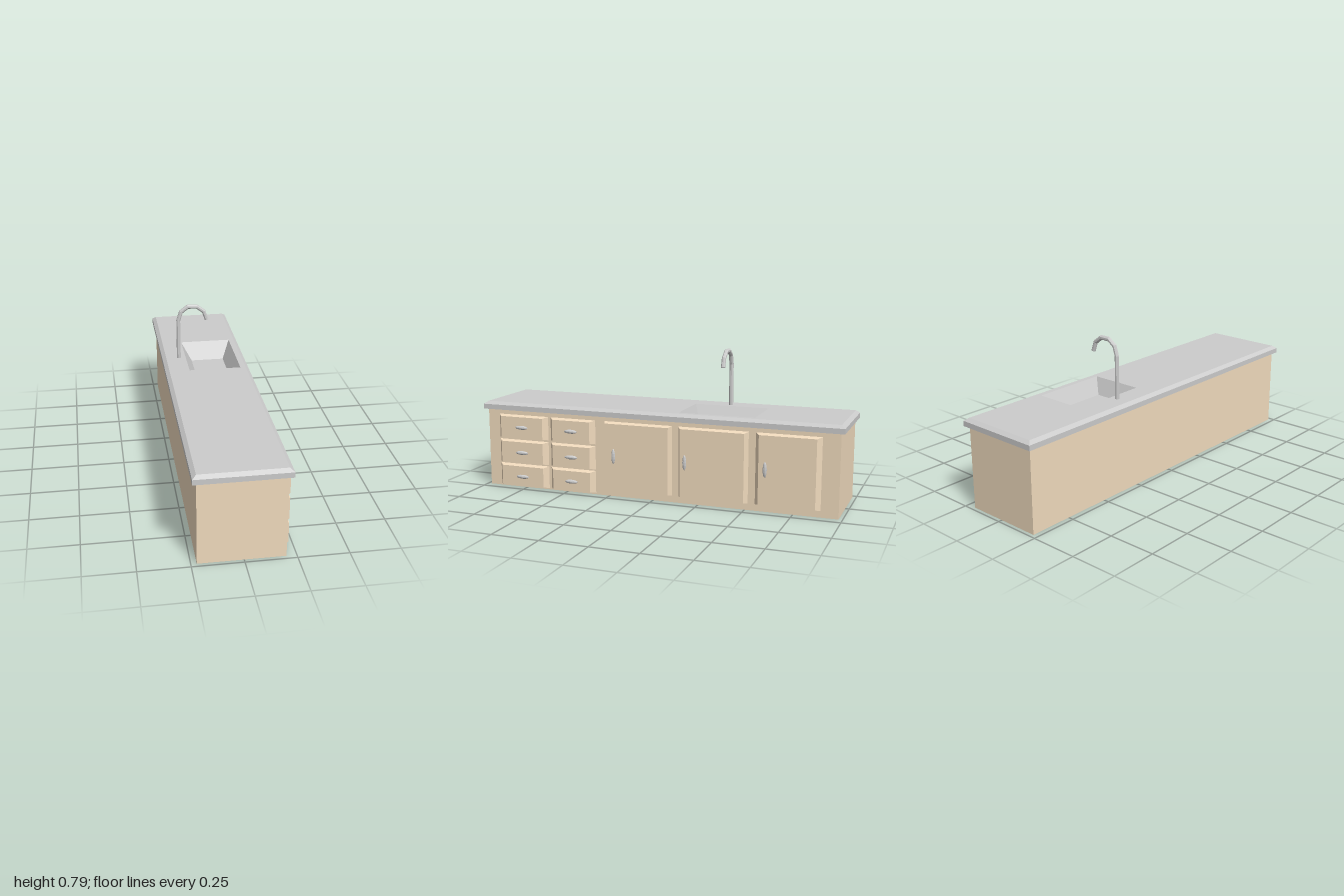
import * as THREE from 'three';

const wood = new THREE.MeshStandardMaterial({ color: 0xf0dabd, flatShading: true });
const grey = new THREE.MeshStandardMaterial({ color: 0xcccccc, flatShading: true });

// Skin a list of equal-sized rings and close the last one with a fan
function loft(rings) {
  const n = rings[0].length;
  const index = [];
  for (let i = 0; i < rings.length - 1; i++) {
    for (let j = 0; j < n; j++) {
      const a = i * n + j, b = i * n + (j + 1) % n;
      index.push(a, b, b + n, a, b + n, a + n);
    }
  }
  const last = (rings.length - 1) * n;
  for (let j = 1; j < n - 1; j++) index.push(last, last + j, last + j + 1);
  const geometry = new THREE.BufferGeometry();
  geometry.setAttribute('position', new THREE.Float32BufferAttribute(rings.flat(2), 3));
  geometry.setIndex(index);
  const flat = geometry.toNonIndexed();
  flat.computeVertexNormals();
  return flat;
}

// Horizontal and upright rectangles used as loft rings
const levelRing = (y, x0, x1, z0, z1) => [[x1, y, z1], [x1, y, z0], [x0, y, z0], [x0, y, z1]];
const uprightRing = (x, y0, y1, z0, z1) => [[x, y1, z1], [x, y0, z1], [x, y0, z0], [x, y1, z0]];

function add(parent, name, geometry, material) {
  const mesh = new THREE.Mesh(geometry, material);
  mesh.name = name;
  parent.add(mesh);
  return mesh;
}

// Tapered front panel with an oval pull
function addFront(parent, name, { y0, y1, z0, z1, inset, pullY, pullZ, upright }) {
  const group = new THREE.Group();
  group.name = name;
  const face = 0.229;
  add(group, name + 'Panel', loft([
    uprightRing(0.2, y0, y1, z0, z1),
    uprightRing(face, y0 + 0.007, y1 - 0.007, z0 + inset, z1 - inset),
  ]), wood);
  const pull = add(group, name + 'Handle', new THREE.SphereGeometry(1, 10, 8), grey);
  pull.position.set(face, pullY, pullZ);
  if (upright) pull.scale.set(0.009, 0.04, 0.011);
  else pull.scale.set(0.011, 0.011, 0.039);
  parent.add(group);
}

export function createModel() {
  const model = new THREE.Group();
  model.name = 'kitchenCounter';

  // Cabinet body, open at the top so the basin can sink into it
  const body = new THREE.BoxGeometry(0.422, 0.433, 1.96);
  const faces = Array.from(body.index.array);
  faces.splice(12, 6);
  body.setIndex(faces);
  add(model, 'cabinetBody', body, wood).position.set(-0.011, 0.2165, 0);

  // Worktop: underside lip, edge, bevel, top surface, then down into the basin
  add(model, 'worktopWithSink', loft([
    levelRing(0.433, -0.222, 0.2, -0.98, 0.98),
    levelRing(0.433, -0.242, 0.22, -1, 1),
    levelRing(0.46, -0.242, 0.22, -1, 1),
    levelRing(0.475, -0.222, 0.2, -0.98, 0.98),
    levelRing(0.475, -0.112, 0.171, -0.54, -0.132),
    levelRing(0.39, -0.06, 0.124, -0.46, -0.17),
  ]), grey);

  // Two columns of three drawers
  const rows = [[0.277, 0.407, 0.342], [0.138, 0.267, 0.2], [0.008, 0.13, 0.065]];
  for (const [z0, z1] of [[0.612, 0.912], [0.33, 0.597]]) {
    for (const [y0, y1, pullY] of rows) {
      addFront(model, 'drawer', { y0, y1, z0, z1, inset: 0.023, pullY, pullZ: (z0 + z1) / 2 });
    }
  }

  // Three cupboard doors
  for (const [z0, z1, inset, pullZ] of [
    [-0.107, 0.275, 0.013, 0.214],
    [-0.517, -0.142, 0.016, -0.185],
    [-0.89, -0.554, 0.022, -0.61],
  ]) {
    addFront(model, 'door', { y0: 0.035, y1: 0.408, z0, z1, inset, pullY: 0.226, pullZ, upright: true });
  }

  // Gooseneck tap: mitred octagonal rings along a bent path
  const path = [[-0.15, 0.475], [-0.15, 0.698], [-0.134, 0.748], [-0.097, 0.776],
    [-0.047, 0.776], [-0.007, 0.745], [0.009, 0.697]].map(p => new THREE.Vector2(...p));
  const radius = 0.0115;
  const tapRings = path.map((p, i) => {
    const before = p.clone().sub(path[Math.max(i - 1, 0)]).normalize();
    const after = path[Math.min(i + 1, path.length - 1)].clone().sub(p).normalize();
    const t = before.clone().add(after).normalize();
    const mitre = radius / Math.max(t.dot(i ? before : after), 0.5);
    return Array.from({ length: 8 }, (_, k) => {
      const a = (k + 0.5) * Math.PI / 4;
      const c = Math.cos(a) * mitre;
      return [p.x - t.y * c, p.y + t.x * c, -0.32 + Math.sin(a) * radius];
    });
  });
  add(model, 'tap', loft(tapRings), grey);

  return model;
}
